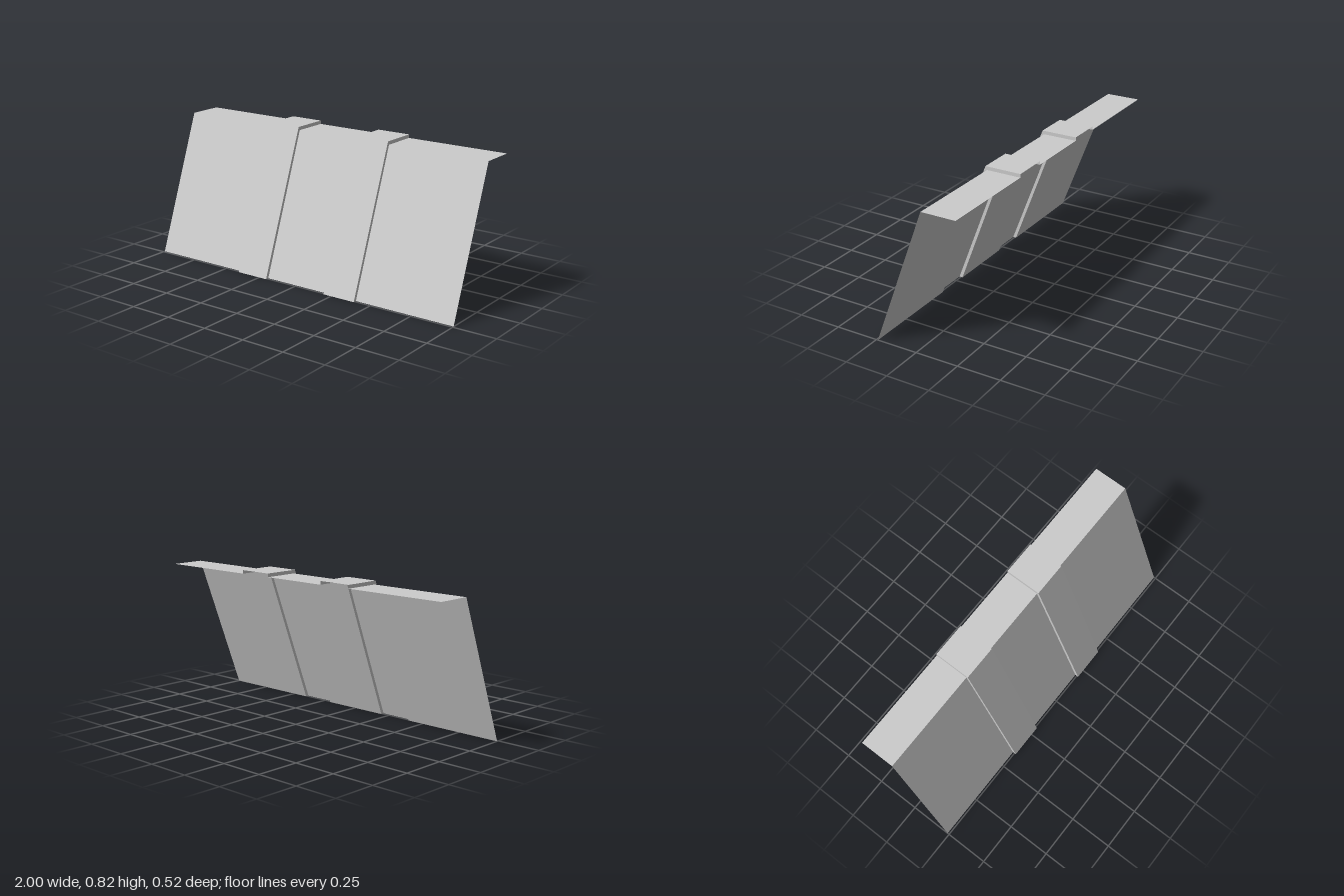
import * as THREE from 'three';

const material = new THREE.MeshStandardMaterial({ color: 0xcccccc, side: THREE.DoubleSide, flatShading: true });

// Side profiles as [y, z]: foot, bend, rear edge of the flange
const basePts = [[0, 0.24], [0.8, -0.06], [0.8, -0.26]];
const ribPts = [[0, 0.26], [0.82, -0.05], [0.82, -0.26]];

// Sheet stretched between profile a at x0 and profile b at x1
function strip(name, a, x0, b, x1) {
  const pos = [];
  for (let i = 0; i < a.length - 1; i++) {
    const p = [x0, ...a[i]], q = [x1, ...b[i]];
    const r = [x1, ...b[i + 1]], s = [x0, ...a[i + 1]];
    pos.push(...p, ...q, ...r, ...p, ...r, ...s);
  }
  const geo = new THREE.BufferGeometry();
  geo.setAttribute('position', new THREE.Float32BufferAttribute(pos, 3));
  geo.computeVertexNormals();
  const mesh = new THREE.Mesh(geo, material);
  mesh.name = name;
  return mesh;
}

export function createModel() {
  const group = new THREE.Group();
  group.name = 'ribbedPanel';

  // Flat panels with their top flange
  for (const [x0, x1] of [[-1, -0.4], [-0.2, 0.2], [0.4, 1]]) {
    group.add(strip('panel', basePts, x0, basePts, x1));
  }

  // Raised hollow ribs: outer face and two thin side walls
  for (const [x0, x1] of [[-0.4, -0.2], [0.2, 0.4]]) {
    const rib = new THREE.Group();
    rib.name = 'rib';
    rib.add(
      strip('ribFace', ribPts, x0, ribPts, x1),
      strip('ribWallRight', basePts, x0, ribPts, x0),
      strip('ribWallLeft', ribPts, x1, basePts, x1),
    );
    group.add(rib);
  }
  return group;
}
